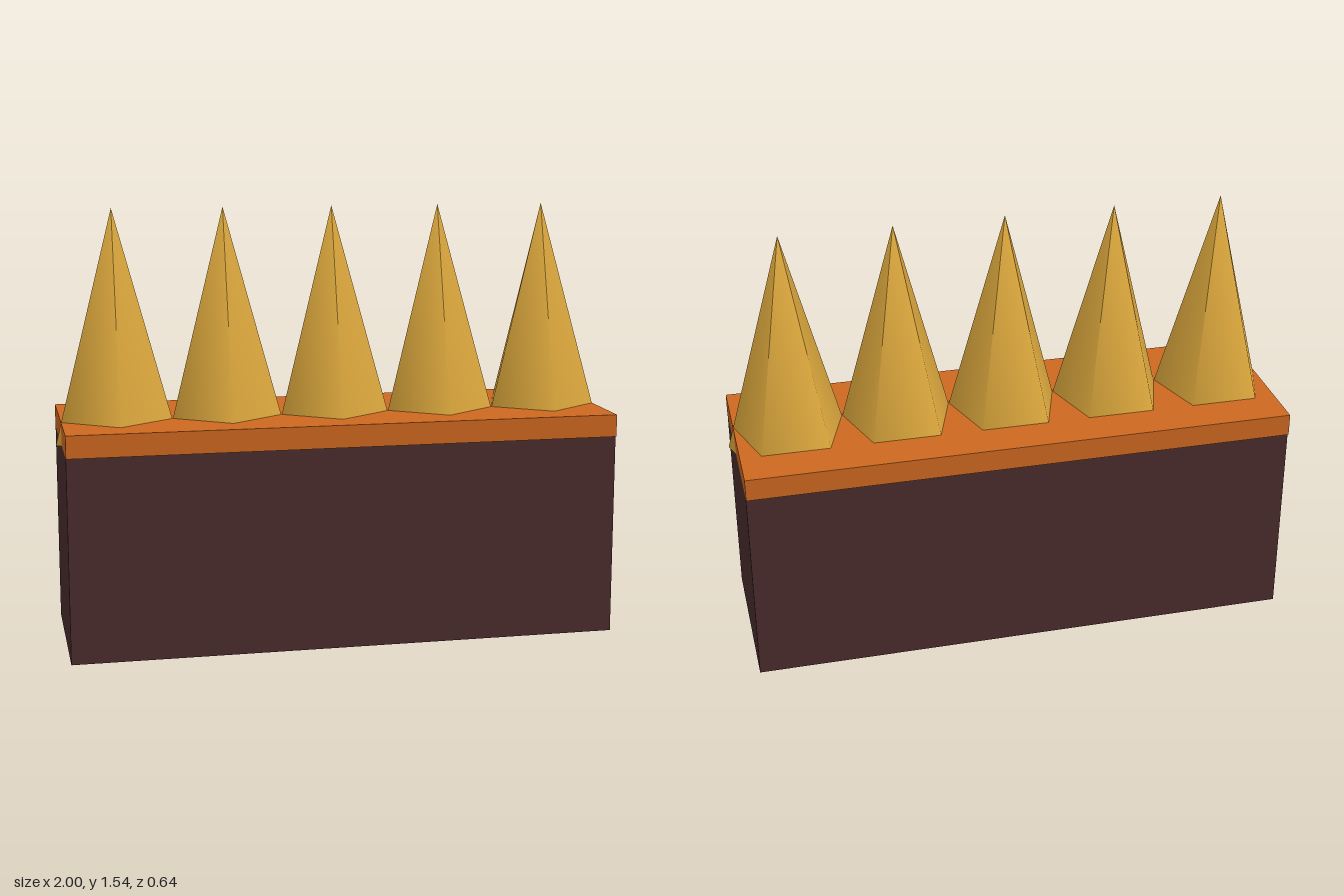
import * as THREE from 'three';

export function createModel() {
  const model = new THREE.Group();
  model.name = 'spikedBlock';

  const mat = (name, color) => {
    const m = new THREE.MeshStandardMaterial({ color });
    m.name = name;
    return m;
  };
  const darkBrown = mat('dark brown', 0x4a2c2d);
  const orange = mat('burnt orange', 0xcd6820);
  const gold = mat('gold', 0xdaa63c);

  const add = (name, geometry, material, x, y) => {
    const mesh = new THREE.Mesh(geometry, material);
    mesh.name = name;
    mesh.position.set(x, y, 0);
    model.add(mesh);
  };

  // Tall block with a slightly deeper slab on top
  const blockTop = 0.725, slabHeight = 0.08;
  add('block', new THREE.BoxGeometry(1.96, blockTop, 0.62), darkBrown, 0, blockTop / 2);
  add('slab', new THREE.BoxGeometry(1.96, slabHeight, 0.637), orange, 0, blockTop + slabHeight / 2);

  // Row of five-sided spikes, sunk through the slab so the end ones poke out of its sides
  const spikeHeight = 0.82;
  const spike = new THREE.ConeGeometry(0.227, spikeHeight, 5);
  for (let i = -2; i <= 2; i++) {
    add('spike' + (i + 3), spike, gold, i * 0.392, blockTop + spikeHeight / 2);
  }

  return model;
}
